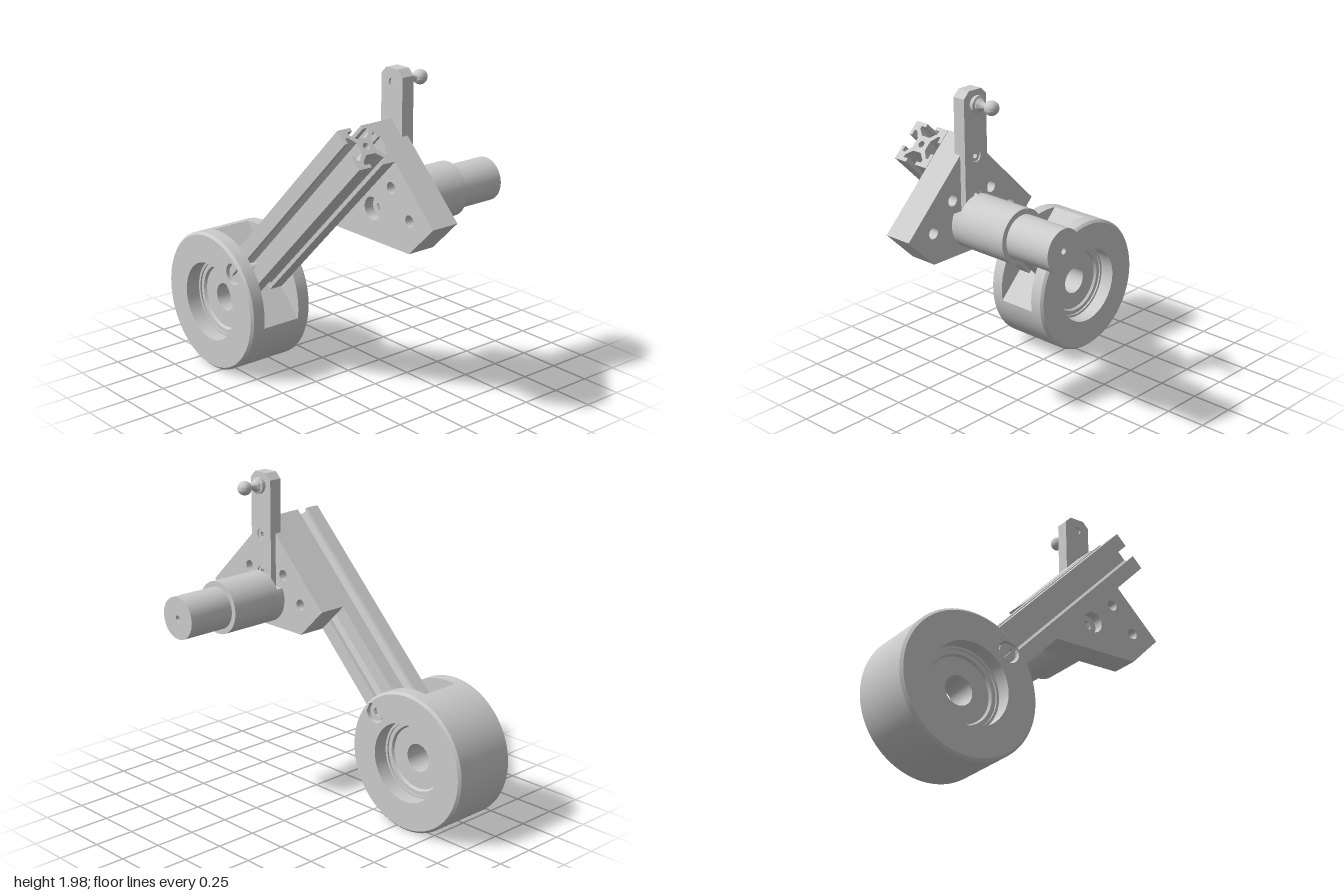
import * as THREE from 'three';
import { toCreasedNormals } from 'three/addons/utils/BufferGeometryUtils.js';

const material = new THREE.MeshStandardMaterial({ color: 0xcccccc });
const HUB = [-0.575, 0.425];   // wheel centre
const MOTOR = [0.515, 1.217];  // motor axis
const MID_Z = 0.385;           // middle plane of wheel and beam
const DIAG = Math.PI / 4;      // beam slope

function add(parent, name, geometry, x = 0, y = 0, z = 0) {
  const mesh = new THREE.Mesh(toCreasedNormals(geometry, 0.5), material);
  mesh.name = name;
  mesh.position.set(x, y, z);
  parent.add(mesh);
  return mesh;
}

const shapeOf = (points) => new THREE.Shape(points.map(([x, y]) => new THREE.Vector2(x, y)));
const disc = (r) => new THREE.Shape().absarc(0, 0, r, 0, Math.PI * 2, false);
const hole = (x, y, r) => new THREE.Path().absarc(x, y, r, 0, Math.PI * 2, true);

function extrude(shape, depth, steps = 1) {
  return new THREE.ExtrudeGeometry(shape, { depth, steps, bevelEnabled: false, curveSegments: 48 });
}

// Turned part along z from [radius, z] pairs, z rising on the outside
function turned(profile) {
  const points = profile.map(([r, z]) => new THREE.Vector2(r, z));
  return new THREE.LatheGeometry(points, 48).rotateX(Math.PI / 2);
}

// Screw head with a hexagonal socket, or a straight slot, facing +z or -z
function addScrew(parent, name, x, y, z, r, dir, slotted = false) {
  const group = new THREE.Group();
  group.name = name;
  const head = disc(r);
  const socket = slotted
    ? [[-0.04, -0.008], [-0.04, 0.008], [0.04, 0.008], [0.04, -0.008]]
    : Array.from({ length: 6 }, (_, i) =>
      [Math.cos(-i * Math.PI / 3) * r * 0.5, Math.sin(-i * Math.PI / 3) * r * 0.5]);
  head.holes.push(new THREE.Path(socket.map(([a, b]) => new THREE.Vector2(a, b))));
  add(group, 'screwRim', extrude(head, 0.025), 0, 0, -0.025);
  add(group, 'screwBase', extrude(disc(r), 0.015), 0, 0, -0.04);
  group.position.set(x, y, z);
  if (dir < 0) group.rotation.y = Math.PI;
  if (slotted) group.rotation.z = DIAG;
  parent.add(group);
}

// Wheel: two full cheeks, a core cut flat for the beam, and a bored bearing
function buildWheel() {
  const wheel = new THREE.Group();
  wheel.name = 'wheel';
  const R = 0.425, bolt = 0.346 * Math.SQRT1_2;

  for (const side of [1, -1]) {
    const cheek = disc(R);
    cheek.holes.push(hole(0, 0, 0.24), hole(bolt, bolt, 0.065));
    const g = extrude(cheek, 0.09, 6);
    const p = g.attributes.position;
    // chamfer the outer rim
    for (let i = 0; i < p.count; i++) {
      const x = p.getX(i), y = p.getY(i);
      if (Math.abs(p.getZ(i) - (side > 0 ? 0.09 : 0)) < 1e-4 && Math.hypot(x, y) > 0.42) {
        p.setXY(i, x * 0.965, y * 0.965);
      }
    }
    add(wheel, side > 0 ? 'frontCheek' : 'backCheek', g, 0, 0, side > 0 ? 0.125 : -0.215);
    addScrew(wheel, 'clampScrew', bolt, bolt, side * 0.2, 0.052, side, side > 0);
  }
  add(wheel, 'clampBolt', new THREE.CylinderGeometry(0.035, 0.035, 0.34, 32).rotateX(Math.PI / 2), bolt, bolt);

  const a = Math.acos(0.25 / R);
  const core = new THREE.Shape().absarc(0, 0, R, DIAG + a, DIAG - a + Math.PI * 2, false);
  core.holes.push(hole(0, 0, 0.225));
  add(wheel, 'wheelCore', extrude(core, 0.25), 0, 0, -0.125);
  add(wheel, 'bearing', turned([[0.085, -0.1], [0.19, -0.1], [0.2, -0.115], [0.225, -0.115],
    [0.225, 0.115], [0.2, 0.115], [0.19, 0.1], [0.085, 0.1], [0.085, -0.1]]));
  wheel.position.set(HUB[0], HUB[1], MID_Z);
  return wheel;
}

// Slotted beam: one side of the section repeated four times
function buildBeam(parent) {
  const side = [[0.125, 0.125], [0.037, 0.125], [0.037, 0.103], [0.07, 0.103], [0.07, 0.085], [0.03, 0.05],
    [-0.03, 0.05], [-0.07, 0.085], [-0.07, 0.103], [-0.037, 0.103], [-0.037, 0.125]];
  const section = [];
  for (let k = 0; k < 4; k++) {
    const c = Math.round(Math.cos(k * Math.PI / 2)), s = Math.round(Math.sin(k * Math.PI / 2));
    for (const [x, y] of side) section.push([x * c - y * s, x * s + y * c]);
  }
  const shape = shapeOf(section);
  shape.holes.push(hole(0, 0, 0.02));
  const g = extrude(shape, 1.42).translate(0, 0, 0.252).rotateY(Math.PI / 2).rotateZ(DIAG);
  add(parent, 'beam', g, HUB[0], HUB[1] + 0.005, MID_Z);
}

// Mounting plate with a row of holes mirrored about the motor axis
function buildPlate(parent) {
  const plate = shapeOf([[0.515, 1.7], [0.03, 1.215], [0.21, 1.035], [0.815, 1.035], [1, 1.218]]);
  for (const s of [-1, 1]) {
    plate.holes.push(hole(0.515 + s * 0.15, 1.37, 0.033), hole(0.515 + s * 0.3, 1.22, 0.033));
  }
  plate.holes.push(hole(MOTOR[0], MOTOR[1], 0.065));
  add(parent, 'mountingPlate', extrude(plate, 0.175), 0, 0, 0.085);
  addScrew(parent, 'plateScrew', MOTOR[0], MOTOR[1], 0.2, 0.064, 1);
}

// Stepped motor body with a flat at its base for the arm
function buildMotor(parent) {
  const a = Math.asin(0.073 / 0.16);
  const flat = new THREE.Shape().absarc(0, 0, 0.16, Math.PI - a, Math.PI * 2 + a, false);
  add(parent, 'motorBase', extrude(flat, 0.045), ...MOTOR, 0.042);
  add(parent, 'motorBody', turned([[0.018, -0.57], [0.018, -0.6], [0.128, -0.6], [0.128, -0.3],
    [0.16, -0.3], [0.16, 0.042], [0, 0.042]]), ...MOTOR, 0);
  add(parent, 'motorEndHole', new THREE.CircleGeometry(0.018, 32).rotateY(Math.PI), ...MOTOR, -0.57);
}

// Upright arm with its screws and ball stud
function buildArm(parent) {
  const arm = shapeOf([[0.43, 1.29], [0.6, 1.29], [0.6, 1.94], [0.562, 1.978], [0.468, 1.978], [0.43, 1.94]]);
  arm.holes.push(hole(0.515, 1.9, 0.025), hole(0.515, 1.6, 0.035), hole(0.515, 1.37, 0.035));
  add(parent, 'arm', extrude(arm, 0.08), 0, 0, 0.047);
  for (const y of [1.6, 1.37]) addScrew(parent, 'armScrew', 0.515, y, 0.055, 0.034, -1);
  add(parent, 'ballStud', turned([[0, -0.06], [0.018, -0.06], [0.018, -0.025], [0.026, -0.005], [0.036, 0.005],
    [0.036, 0.012], [0.05, 0.018], [0.05, 0.036], [0.042, 0.047], [0.024, 0.047], [0.024, 0.115], [0, 0.115]]),
  0.515, 1.9, 0);
  add(parent, 'ball', new THREE.SphereGeometry(0.042, 32, 20), 0.515, 1.9, -0.077);
}

export function createModel() {
  const model = new THREE.Group();
  model.name = 'swingArm';
  model.add(buildWheel());
  buildBeam(model);
  buildPlate(model);
  buildMotor(model);
  buildArm(model);
  return model;
}
